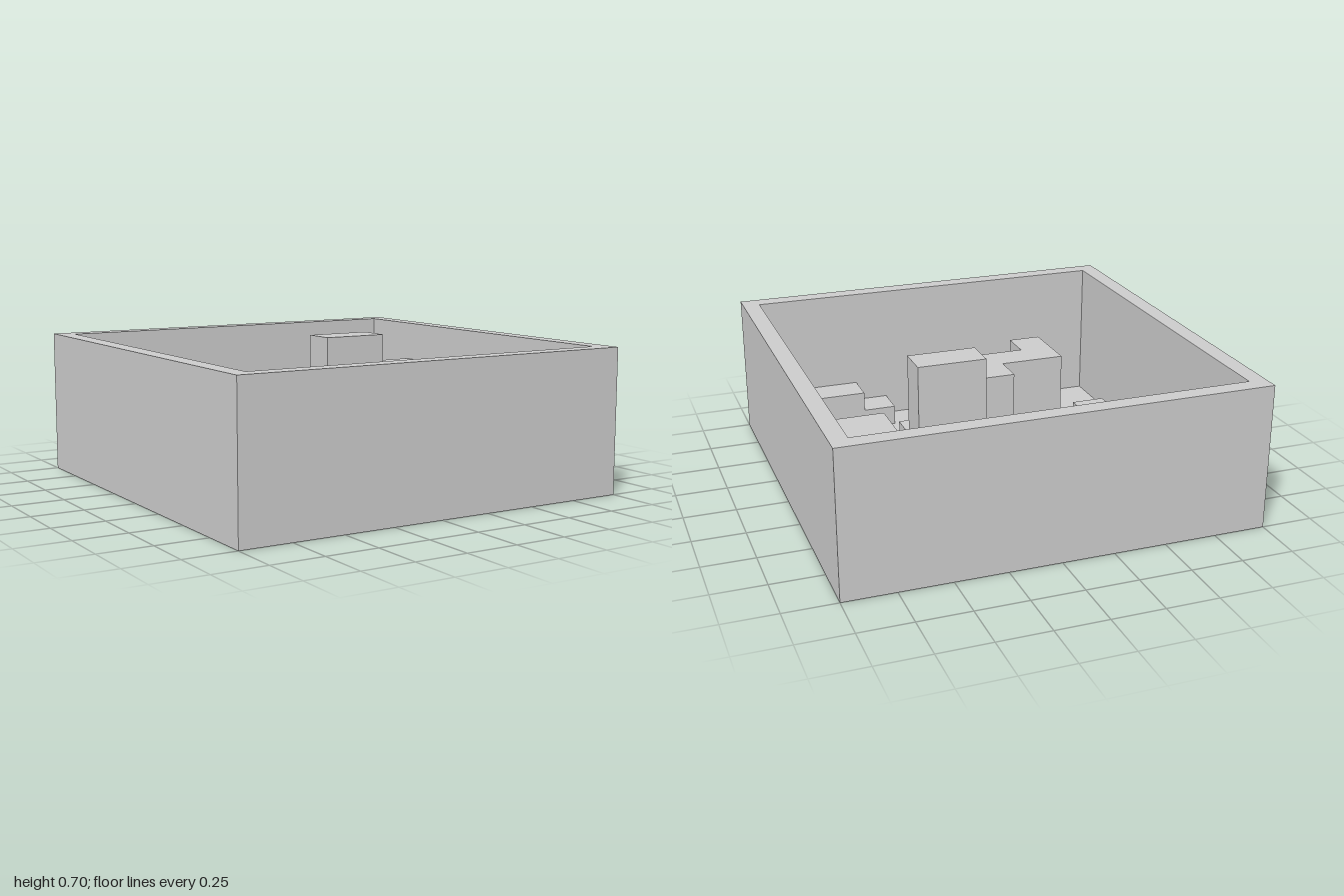
import * as THREE from 'three';

// Plan of the tray, back row first; each letter is a block of one height
const PLAN = [
  'WWWWWWWWWWWWW',
  'W...B.......W',
  'WA..BBB...C.W',
  'WAA.......CCW',
  'W...D.....CCW',
  'W.....EFF...W',
  'W.H.....G...W',
  'W.H.........W',
  'W....I......W',
  'W..III......W',
  'W..I.......KW',
  'W.......JKKKW',
  'WWWWWWWWWWWWW',
];

const PARTS = {
  W: ['outerWall', 0.7],
  '.': ['floor', 0],
  A: ['backLeftBlock', 0.4],
  B: ['backMiddleBlock', 0.2],
  C: ['backRightBlock', 0.5],
  D: ['smallSquareBlock', 0.1],
  E: ['centreStepBlock', 0.3],
  F: ['centreTower', 0.7],
  G: ['centreFrontStep', 0.3],
  H: ['sideBar', 0.2],
  I: ['zigzagBlock', 0.4],
  J: ['frontLowStep', 0.1],
  K: ['frontCornerBlock', 0.2],
};

// Grid lines: half-width cells for the wall, full cells inside
const line = (i) => (i === 0 ? -1 : i === 13 ? 1 : (i - 6.5) / 6);
const heightAt = (row, col) => {
  const key = PLAN[row]?.[col];
  return key ? PARTS[key][1] : 0;
};

// Open-bottomed shell of one part: a top per cell, and sides down to lower neighbours
function shell(key, h) {
  const pos = [];
  const quad = (a, b, c, d) => pos.push(...a, ...b, ...c, ...a, ...c, ...d);
  PLAN.forEach((cells, row) => {
    for (let col = 0; col < cells.length; col++) {
      if (cells[col] !== key) continue;
      const x0 = line(col), x1 = line(col + 1);
      const z0 = line(row), z1 = line(row + 1);
      const corners = [[x0, z1], [x1, z1], [x1, z0], [x0, z0]];
      quad(...corners.map(([x, z]) => [x, h, z]));
      // neighbours in front, right, behind, left
      [[1, 0], [0, 1], [-1, 0], [0, -1]].forEach(([dr, dc], k) => {
        const low = heightAt(row + dr, col + dc);
        if (low >= h) return;
        const [px, pz] = corners[k];
        const [qx, qz] = corners[(k + 1) % 4];
        quad([px, low, pz], [qx, low, qz], [qx, h, qz], [px, h, pz]);
      });
    }
  });
  const geometry = new THREE.BufferGeometry();
  geometry.setAttribute('position', new THREE.Float32BufferAttribute(pos, 3));
  geometry.computeVertexNormals();
  return geometry;
}

export function createModel() {
  const group = new THREE.Group();
  group.name = 'blockTray';
  const material = new THREE.MeshStandardMaterial({
    color: 0xcccccc, flatShading: true, side: THREE.DoubleSide,
  });
  for (const [key, [name, height]] of Object.entries(PARTS)) {
    const mesh = new THREE.Mesh(shell(key, height), material);
    mesh.name = name;
    group.add(mesh);
  }
  return group;
}
